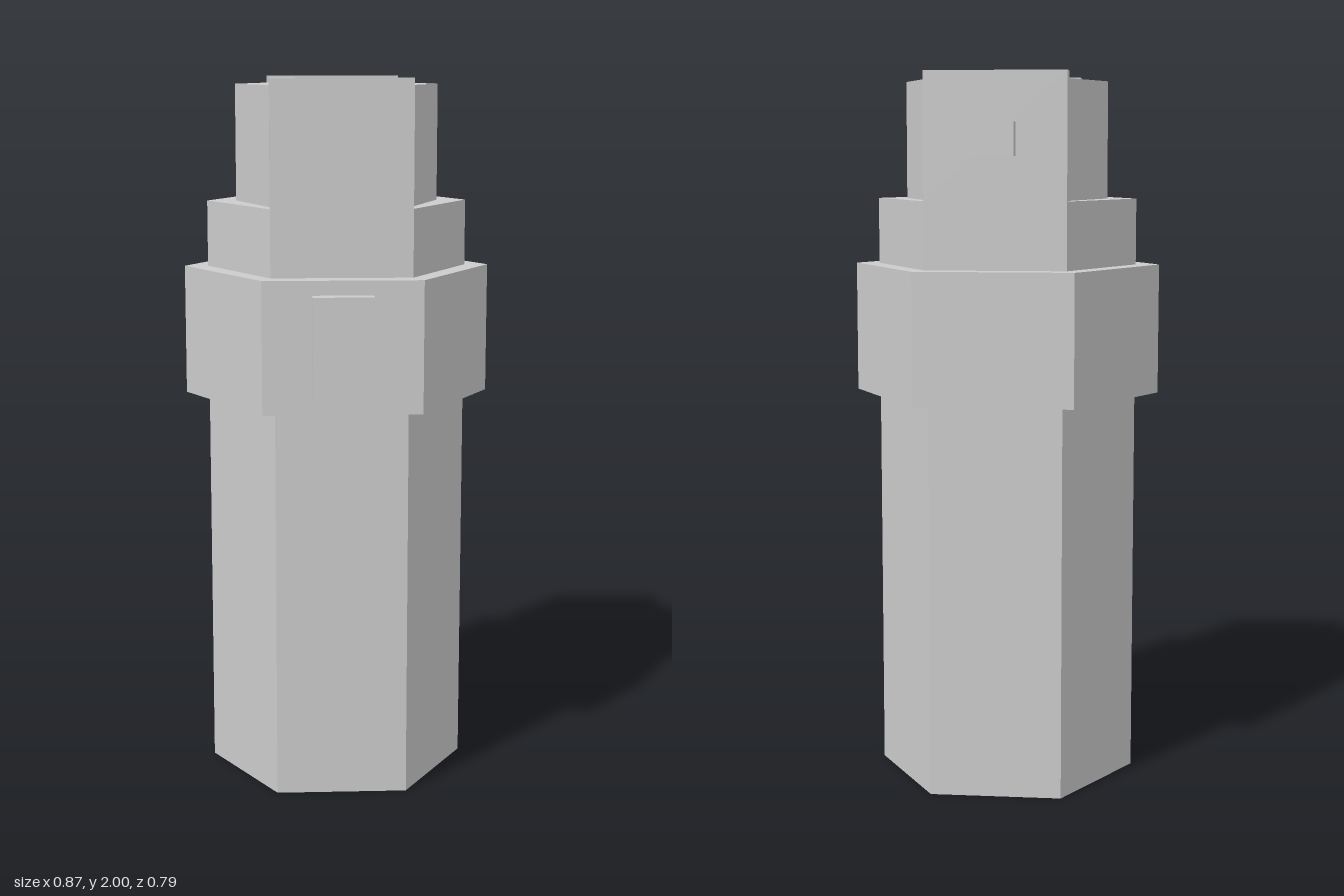
import * as THREE from 'three';

const CZ = -0.022; // depth of the hexagon axis

export function createModel() {
  const group = new THREE.Group();
  const material = new THREE.MeshStandardMaterial({ color: 0xcccccc, flatShading: true });

  const add = (name, geometry) => {
    const mesh = new THREE.Mesh(geometry, material);
    mesh.name = name;
    group.add(mesh);
  };

  // Upright hexagonal prism: tips at +-tip in x, flat faces of half width flat at +-depth in z
  const hexPrism = (name, tip, flat, depth, y0, y1) => {
    const shape = new THREE.Shape([
      [tip, 0], [flat, depth], [-flat, depth], [-tip, 0], [-flat, -depth], [flat, -depth],
    ].map(([x, y]) => new THREE.Vector2(x, y)));
    const geometry = new THREE.ExtrudeGeometry(shape, { depth: y1 - y0, bevelEnabled: false });
    geometry.rotateX(-Math.PI / 2).translate(0, y0, CZ);
    add(name, geometry);
  };

  // Box given by its half width and its y and z limits
  const box = (name, halfWidth, y0, y1, z0, z1) => {
    const geometry = new THREE.BoxGeometry(2 * halfWidth, y1 - y0, z1 - z0);
    geometry.translate(0, (y0 + y1) / 2, (z0 + z1) / 2);
    add(name, geometry);
  };

  // Stacked hexagonal sections
  hexPrism('handle', 0.367, 0.183, 0.317, 0, 1.105);
  hexPrism('collar', 0.433, 0.218, 0.376, 1.105, 1.47);
  hexPrism('neck', 0.367, 0.193, 0.317, 1.47, 1.655);
  hexPrism('headCore', 0.285, 0.193, 0.248, 1.655, 1.98);

  // Plates standing slightly proud of the head
  box('frontPlate', 0.193, 1.655, 2, CZ + 0.247, CZ + 0.317);
  box('backPlate', 0.193, 1.655, 2, CZ - 0.317, CZ - 0.247);

  // Front button and rear knob
  box('frontButton', 0.083, 1.15, 1.43, 0.35, 0.397);
  box('backKnob', 0.055, 1.775, 1.865, -0.397, -0.335);

  return group;
}
